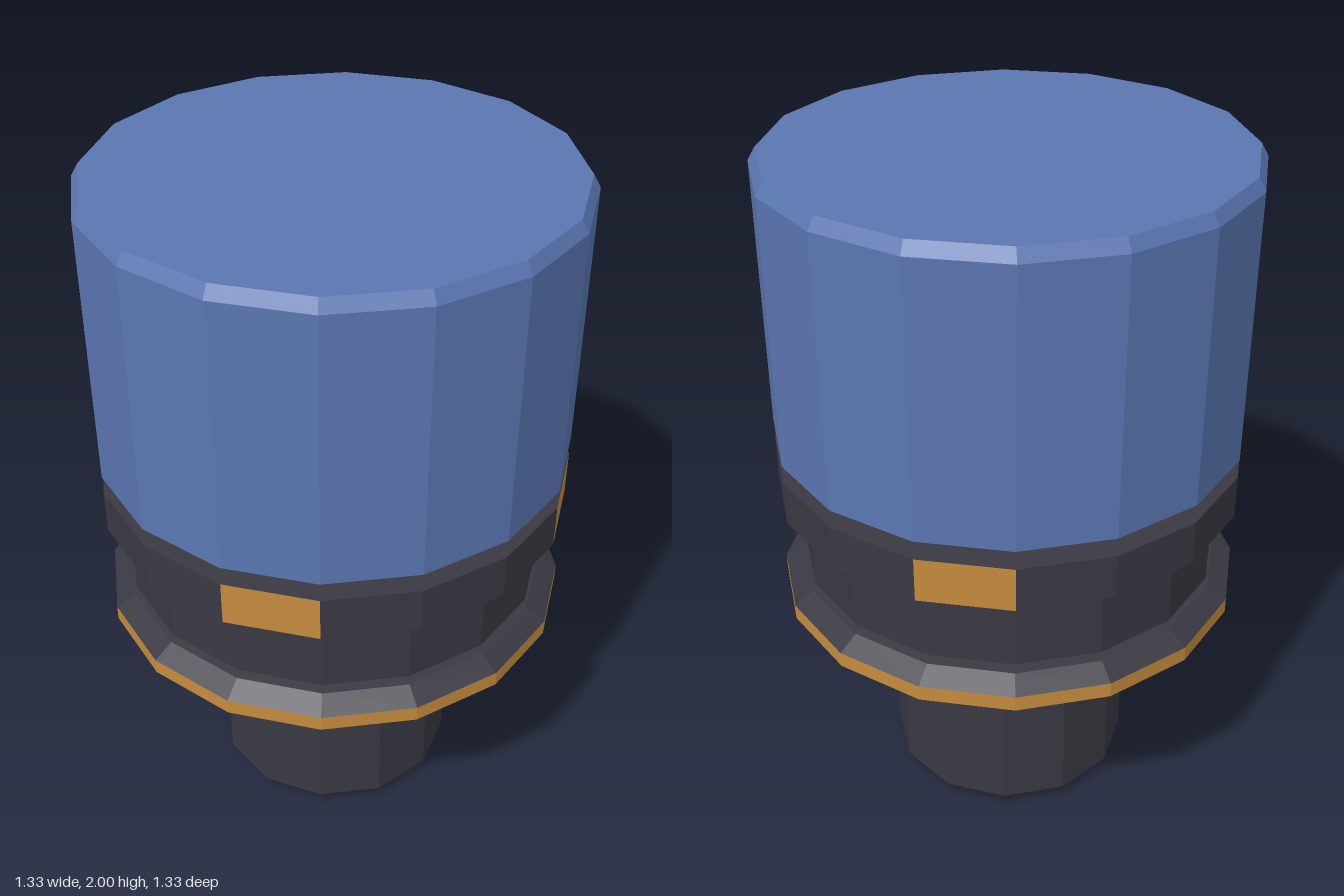
import * as THREE from 'three';

const blue = new THREE.MeshStandardMaterial({ color: 0x5b76b2 });
blue.name = 'blue';
const dark = new THREE.MeshStandardMaterial({ color: 0x3a3943 });
dark.name = 'charcoal';
const orange = new THREE.MeshStandardMaterial({ color: 0xc58b3e });
orange.name = 'amber';

const STEP = Math.PI / 8; // one facet of the 16-sided parts

// Faceted turned part; profile is [radius, y], running upward on the outside
function turned(name, material, profile, sides = 16, start = -Math.PI / sides, length = Math.PI * 2) {
  const points = profile.map(([r, y]) => new THREE.Vector2(r, y));
  const geometry = new THREE.LatheGeometry(points, sides, start, length).toNonIndexed();
  geometry.computeVertexNormals();
  const mesh = new THREE.Mesh(geometry, material);
  mesh.name = name;
  return mesh;
}

export function createModel() {
  const model = new THREE.Group();
  model.name = 'turnedFitting';

  // Hollow 12-sided stem with a chamfered tip
  model.add(turned('stem', dark, [
    [0, 0.6], [0.25, 0.6], [0.25, 0], [0.33, 0], [0.359, 0.04], [0.359, 0.68],
  ], 12));

  // Flange: dark underside, amber rim, dark sloped top
  model.add(turned('flangeUnderside', dark, [[0, 0.67], [0.678, 0.67]]));
  model.add(turned('flangeRim', orange, [[0.678, 0.67], [0.678, 0.715]]));
  model.add(turned('flangeTop', dark, [[0.678, 0.715], [0.62, 0.75], [0.43, 0.776]]));

  // Collar and the blue chamfer above it
  model.add(turned('collar', dark, [[0, 0.775], [0.613, 0.775], [0.613, 0.985]]));
  model.add(turned('lowerChamfer', blue, [[0.6, 0.98], [0.62, 0.98], [0.678, 1.005]]));

  // Ring with four amber facets, each followed by three dark ones
  const ring = new THREE.Group();
  ring.name = 'markerRing';
  const ringProfile = [[0.5, 1.005], [0.678, 1.005], [0.678, 1.135], [0.5, 1.135]];
  for (let i = 0; i < 4; i++) {
    const start = (i * 4 - 0.5) * STEP;
    ring.add(turned('ringSection', dark, ringProfile, 3, start, 3 * STEP));
    ring.add(turned('ringMarker', orange, ringProfile.slice(1, 3), 1, start - STEP, STEP));
    ring.add(turned('markerTop', dark, ringProfile.slice(2), 1, start - STEP, STEP));
    ring.add(turned('markerBase', dark, ringProfile.slice(0, 2), 1, start - STEP, STEP));
  }
  model.add(ring);

  // Tapered neck and chamfered head
  model.add(turned('neck', dark, [[0.59, 1.135], [0.626, 1.157]]));
  model.add(turned('head', blue, [
    [0.626, 1.157], [0.678, 1.19], [0.678, 1.965], [0.658, 2], [0, 2],
  ]));

  return model;
}
